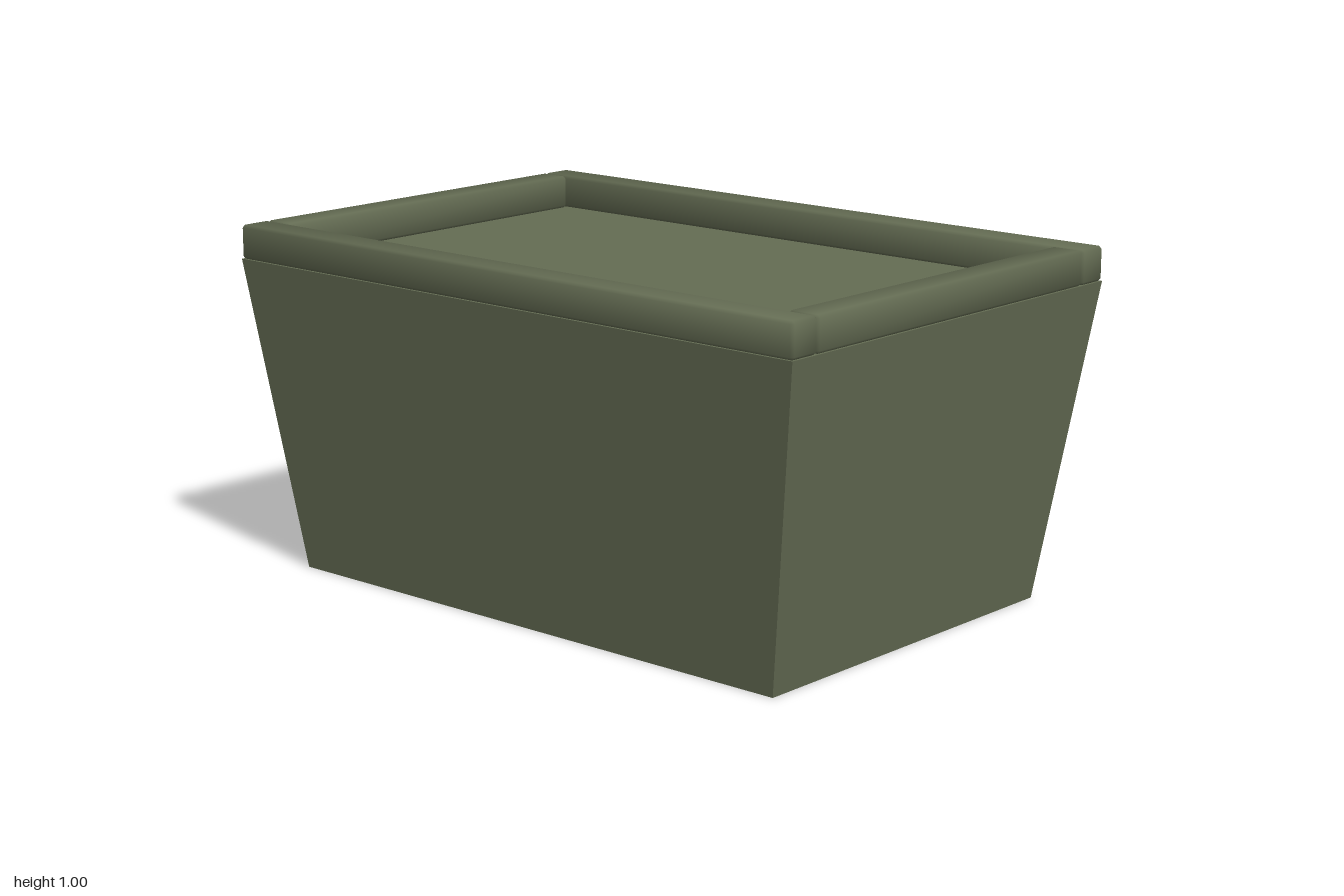
import * as THREE from 'three';
import { ConvexGeometry } from 'three/addons/geometries/ConvexGeometry.js';

const WIDTH = 2, DEPTH = 1.334, HEIGHT = 1;
const RIM = 0.097, CHAMFER = 0.008;

// Box with small chamfers and soft normals that lean out towards the corners
function chamferedBar(w, h, d) {
  const half = [w / 2, h / 2, d / 2];
  const points = [];
  for (const sx of [-1, 1]) for (const sy of [-1, 1]) for (const sz of [-1, 1]) {
    const sign = [sx, sy, sz];
    for (let face = 0; face < 3; face++) {
      points.push(new THREE.Vector3(...sign.map((s, i) => s * (half[i] - (i === face ? 0 : CHAMFER)))));
    }
  }
  const geometry = new ConvexGeometry(points);
  const pos = geometry.attributes.position, normal = geometry.attributes.normal;
  for (let i = 0; i < pos.count; i++) {
    const p = [pos.getX(i), pos.getY(i), pos.getZ(i)];
    const n = p.map((v, k) => Math.sign(v) * (half[k] - Math.abs(v) < CHAMFER / 2 ? 0.88 : 0.34));
    normal.setXYZ(i, ...new THREE.Vector3(...n).normalize().toArray());
  }
  return geometry;
}

// Solid tub, narrower at the bottom
function taperedBody() {
  const h = HEIGHT - RIM;
  const box = new THREE.BoxGeometry(WIDTH, h, DEPTH);
  box.translate(0, h / 2, 0);
  const pos = box.attributes.position;
  for (let i = 0; i < pos.count; i++) {
    if (pos.getY(i) < h / 2) {
      pos.setX(i, Math.sign(pos.getX(i)) * 0.867);
      pos.setZ(i, Math.sign(pos.getZ(i)) * 0.567);
    }
  }
  box.computeVertexNormals();
  return box;
}

export function createModel() {
  const group = new THREE.Group();
  const olive = new THREE.MeshStandardMaterial({ color: 0x646c53 });
  olive.name = 'olive green';

  const add = (name, geometry, x = 0, y = 0, z = 0) => {
    const mesh = new THREE.Mesh(geometry, olive);
    mesh.name = name;
    mesh.position.set(x, y, z);
    group.add(mesh);
  };

  add('body', taperedBody());

  // Raised rim: full-length bars front and back, shorter bars between them
  const longBar = chamferedBar(WIDTH, RIM, RIM);
  const endBar = chamferedBar(RIM, RIM, DEPTH - 2 * RIM);
  const y = HEIGHT - RIM / 2;
  for (const side of [1, -1]) {
    add(side > 0 ? 'frontRim' : 'backRim', longBar, 0, y, side * (DEPTH - RIM) / 2);
    add(side > 0 ? 'leftRim' : 'rightRim', endBar, side * (WIDTH - RIM) / 2, y, 0);
  }
  return group;
}
